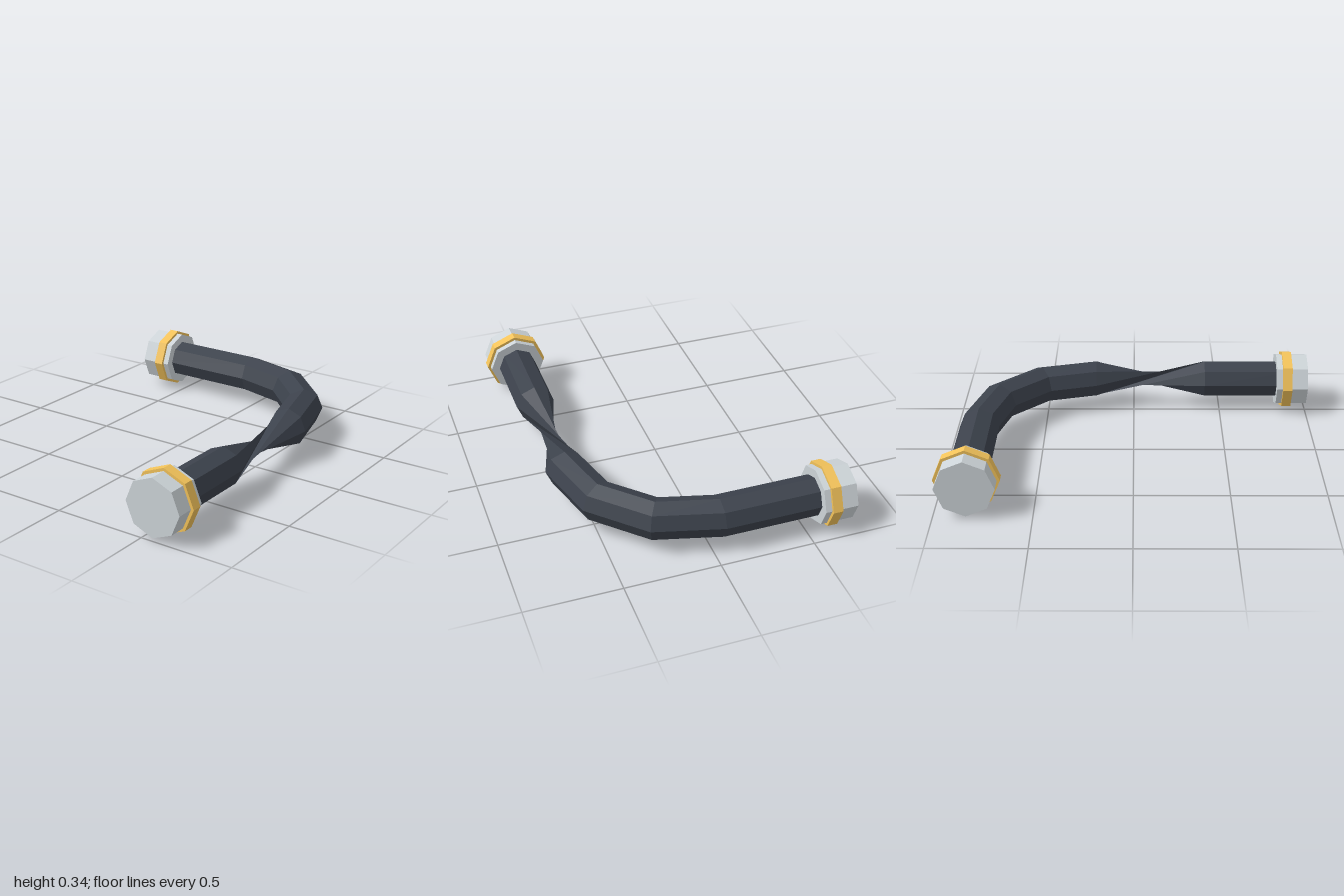
import * as THREE from 'three';

const SIDES = 8;
const Y = 0.169; // height of the pipe axis

const mat = (color, side = THREE.FrontSide) =>
  new THREE.MeshStandardMaterial({ color, side, flatShading: true });

// Eight-sided pipe: straight, a twisted pinch, a quarter bend, straight
function buildPipe(material) {
  const r = 0.106, bend = 0.615, bx = -0.05, bz = -0.217;
  const twist = THREE.MathUtils.degToRad(135);
  // each ring: centre x, centre z, bend angle, twist angle
  const rings = [
    [bx + bend, 0.9, 0, 0],
    [bx + bend, 0.41, 0, 0],
  ];
  for (let k = 0; k <= 3; k++) {
    const a = (k * Math.PI) / 6;
    rings.push([bx + bend * Math.cos(a), bz - bend * Math.sin(a), a, twist]);
  }
  rings.push([-0.65, bz - bend, Math.PI / 2, twist]);

  const positions = [], index = [];
  rings.forEach(([x, z, a, spin], j) => {
    for (let i = 0; i < SIDES; i++) {
      const t = (i / SIDES) * Math.PI * 2 + spin;
      const out = r * Math.cos(t);
      positions.push(x + out * Math.cos(a), Y + r * Math.sin(t), z - out * Math.sin(a));
      if (j === rings.length - 1) continue;
      const n = (i + 1) % SIDES;
      const A = j * SIDES, B = A + SIDES;
      index.push(A + i, B + n, A + n, A + i, B + i, B + n);
    }
  });
  const geo = new THREE.BufferGeometry();
  geo.setAttribute('position', new THREE.Float32BufferAttribute(positions, 3));
  geo.setIndex(index);
  geo.computeVertexNormals();
  const mesh = new THREE.Mesh(geo, material);
  mesh.name = 'pipe';
  return mesh;
}

// End fitting along +z with its outer face at z = 0
function buildFitting(name, capMaterial, bandMaterial) {
  const group = new THREE.Group();
  group.name = name;
  const add = (part, radius, near, far, material) => {
    const geo = new THREE.CylinderGeometry(radius, radius, far - near, SIDES);
    geo.rotateX(Math.PI / 2);
    const mesh = new THREE.Mesh(geo, material);
    mesh.position.z = -(near + far) / 2;
    mesh.name = part;
    group.add(mesh);
  };
  add('endCap', 0.153, 0, 0.176, capMaterial);
  add('band', 0.169, 0.09, 0.143, bandMaterial);
  return group;
}

export function createModel() {
  const model = new THREE.Group();
  model.name = 'bentPipe';
  // the pipe is open-ended and folds through itself at the pinch
  const dark = mat(0x3c424c, THREE.DoubleSide);
  const grey = mat(0xcdd4d8), gold = mat(0xf2c25a);

  model.add(buildPipe(dark));

  const front = buildFitting('frontFitting', grey, gold);
  front.position.set(0.565, Y, 1);
  model.add(front);

  const side = buildFitting('sideFitting', grey, gold);
  side.rotation.y = -Math.PI / 2;
  side.position.set(-0.734, Y, -0.832);
  model.add(side);

  return model;
}
